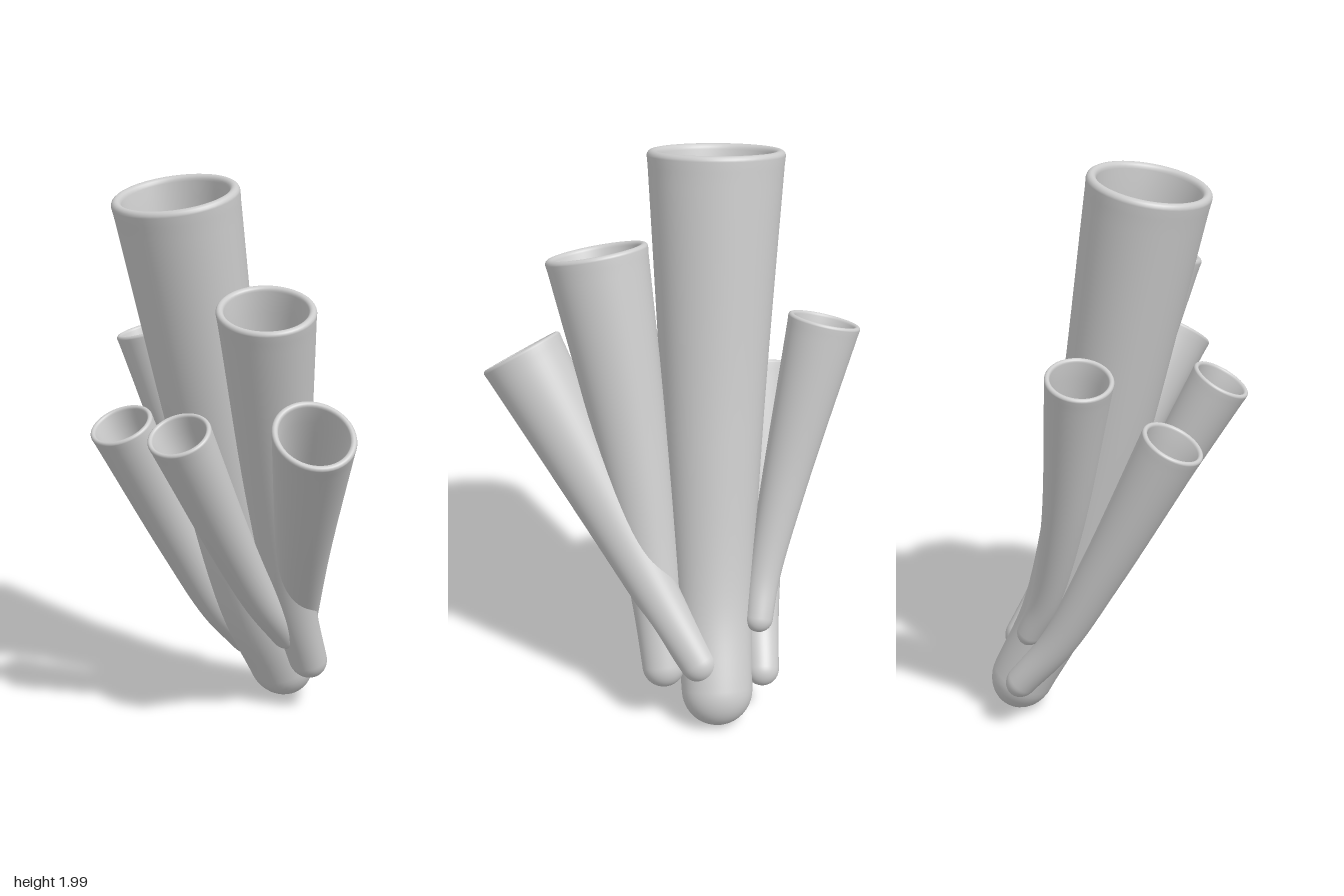
import * as THREE from 'three';

const SIDES = 48;
const SQUASH = 0.89; // tubes are slightly narrower along x

// Sweep one closed skin: round foot, flaring wall, rolled lip, tapering hollow
function tubeGeometry(points, rBase, rTop) {
  const curve = new THREE.CatmullRomCurve3(points.map(p => new THREE.Vector3(...p)));
  const radius = t => rBase + (rTop - rBase) * Math.pow(t, 1.15);
  const rings = []; // [t along curve, offset along axis, radius]

  // rounded foot
  for (let i = 0; i < 10; i++) {
    const a = (i / 10) * Math.PI / 2;
    rings.push([0, -rBase * Math.cos(a), Math.max(rBase * Math.sin(a), 1e-4)]);
  }
  // outer wall
  for (let i = 0; i <= 36; i++) rings.push([i / 36, i === 36 ? -rTop * 0.08 : 0, radius(i / 36)]);
  // rolled lip
  const lip = rTop * 0.08;
  for (let i = 1; i <= 8; i++) {
    const a = (i / 8) * Math.PI;
    rings.push([1, -lip + lip * Math.sin(a), rTop - lip + lip * Math.cos(a)]);
  }
  // hollow, narrowing to a rounded floor
  const depth = 0.55;
  for (let i = 1; i <= 20; i++) {
    const s = i / 20;
    const t = 1 - lip * 0.6 - (depth - lip * 0.6) * s;
    rings.push([t, 0, rTop * (0.84 - 0.42 * Math.pow(s, 0.8))]);
  }
  const rFloor = rTop * 0.42;
  for (let i = 1; i <= 8; i++) {
    const a = (i / 8) * Math.PI / 2;
    rings.push([1 - depth, -rFloor * Math.sin(a), Math.max(rFloor * Math.cos(a), 1e-4)]);
  }

  const pos = [], index = [];
  const xAxis = new THREE.Vector3(1, 0, 0);
  for (const [t, offset, r] of rings) {
    const T = curve.getTangentAt(t);
    const U = xAxis.clone().addScaledVector(T, -T.x).normalize();
    const V = T.clone().cross(U);
    const c = curve.getPointAt(t).addScaledVector(T, offset);
    for (let j = 0; j < SIDES; j++) {
      const a = (j / SIDES) * Math.PI * 2;
      const p = c.clone()
        .addScaledVector(U, r * SQUASH * Math.cos(a))
        .addScaledVector(V, r * Math.sin(a));
      pos.push(p.x, p.y, p.z);
    }
  }
  for (let i = 0; i < rings.length - 1; i++) {
    for (let j = 0; j < SIDES; j++) {
      const k = (j + 1) % SIDES;
      const a = i * SIDES + j, b = i * SIDES + k;
      const c = b + SIDES, d = a + SIDES;
      index.push(a, b, c, a, c, d);
    }
  }
  const g = new THREE.BufferGeometry();
  g.setAttribute('position', new THREE.Float32BufferAttribute(pos, 3));
  g.setIndex(index);
  g.computeVertexNormals();
  return g;
}

// Each tube: centre line from foot to mouth, foot radius, mouth radius
const TUBES = [
  { name: 'mainTube', r: [0.125, 0.235],
    path: [[0.33, 0.125, -0.12], [0.2, 0.4, -0.125], [0.05, 1.0, -0.14], [-0.13, 1.96, -0.17]] },
  { name: 'frontInnerTube', r: [0.075, 0.178],
    path: [[0.29, 0.215, 0.065], [0.2, 0.45, 0.08], [0.07, 0.92, 0.135], [-0.095, 1.63, 0.245]] },
  { name: 'frontOuterTube', r: [0.065, 0.15],
    path: [[0.35, 0.25, -0.05], [0.24, 0.45, 0.07], [0.09, 0.76, 0.24], [-0.125, 1.265, 0.51]] },
  { name: 'rightSideTube', r: [0.06, 0.12],
    path: [[0.2, 0.33, 0.04], [0.07, 0.49, 0.055], [-0.08, 0.73, 0.07], [-0.345, 1.215, 0.09]] },
  { name: 'backRightTube', r: [0.06, 0.125],
    path: [[0.3, 0.18, -0.285], [0.17, 0.34, -0.295], [0.01, 0.63, -0.315], [-0.24, 1.13, -0.345]] },
  { name: 'backTube', r: [0.05, 0.127],
    path: [[0.27, 0.37, -0.275], [0.21, 0.5, -0.3], [0.13, 0.82, -0.38], [0.04, 1.395, -0.525]] },
];

export function createModel() {
  const group = new THREE.Group();
  group.name = 'tubeCluster';
  const material = new THREE.MeshStandardMaterial({ color: 0xcccccc });
  for (const { name, path, r } of TUBES) {
    const mesh = new THREE.Mesh(tubeGeometry(path, r[0], r[1]), material);
    mesh.name = name;
    group.add(mesh);
  }
  return group;
}
